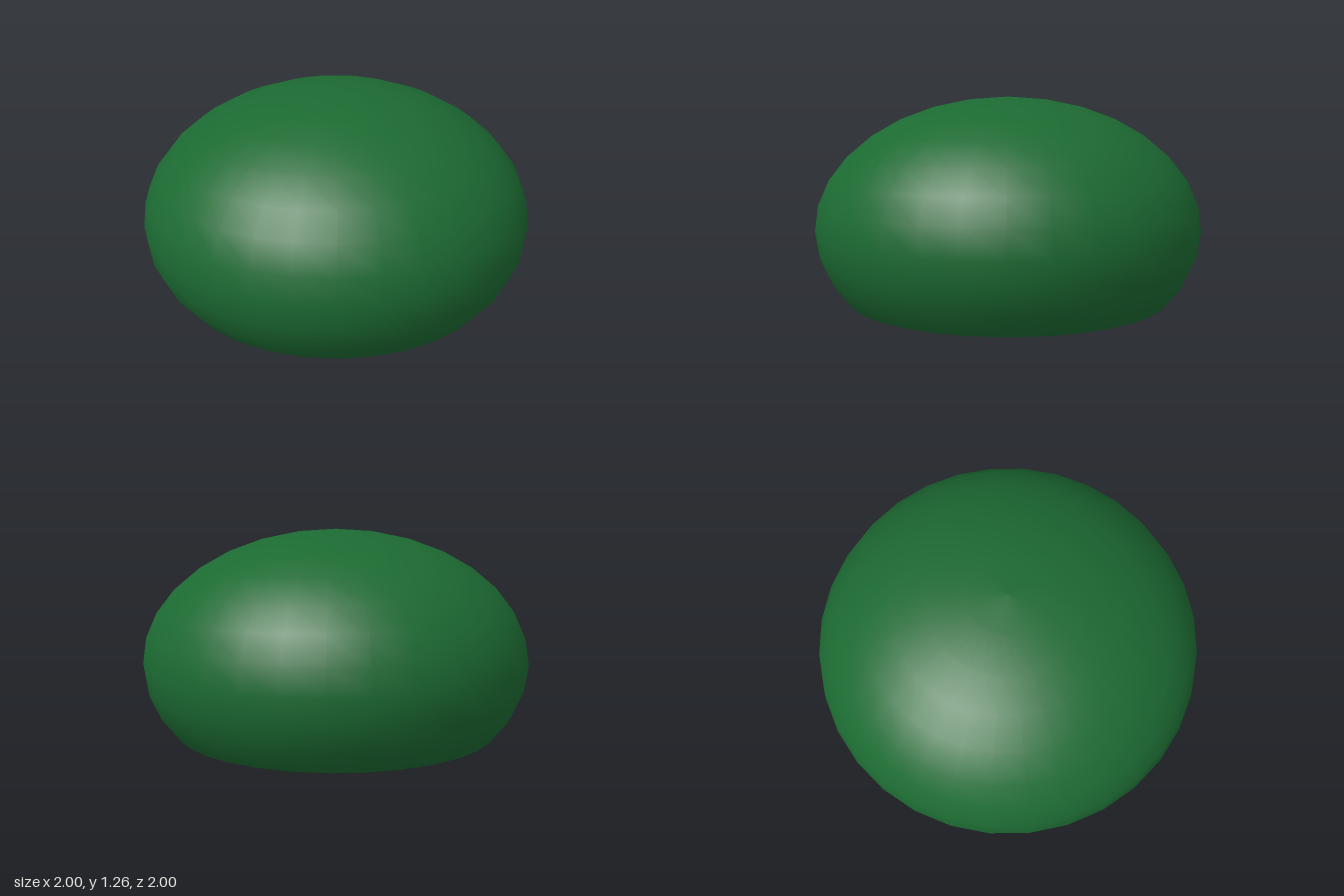
import * as THREE from 'three';

const SEGMENTS = 32;
const CENTRE_Y = 0.578;
const RIM_Y = 0.209;
const RIM_OUTER = 0.838;
const RIM_INNER = 0.79;

// Elliptical profile points at sixteenths of a half turn, counted from the bottom pole
function arc(rx, ry, centreY, first) {
  const points = [];
  for (let i = first; i < 16; i++) {
    const a = Math.PI * i / 16;
    points.push(new THREE.Vector2(rx * Math.sin(a), centreY - ry * Math.cos(a)));
  }
  points.push(new THREE.Vector2(0, centreY + ry));
  return points;
}

function addLathe(parent, name, points, material) {
  const mesh = new THREE.Mesh(new THREE.LatheGeometry(points, SEGMENTS), material);
  mesh.name = name;
  parent.add(mesh);
}

export function createModel() {
  const model = new THREE.Group();
  model.name = 'domeLamp';
  const green = new THREE.MeshStandardMaterial({ color: 0x1c6a32, side: THREE.DoubleSide });
  const grey = new THREE.MeshStandardMaterial({ color: 0xcccccc });

  // Shade: flat rim running smoothly into the outer dome
  const shade = new THREE.Group();
  shade.name = 'shade';
  addLathe(shade, 'shadeOuter', [
    new THREE.Vector2(RIM_INNER, RIM_Y),
    new THREE.Vector2(RIM_OUTER, RIM_Y),
    ...arc(1, 0.68, CENTRE_Y, 6),
  ], green);

  // Bowl-shaped cavity rising from the inner edge of the rim
  addLathe(shade, 'shadeInner', arc(RIM_INNER, 0.82, RIM_Y, 8).reverse(), green);
  model.add(shade);

  // Bulb: an egg-shaped ellipsoid hanging below the rim
  const bulb = new THREE.Mesh(new THREE.SphereGeometry(1, SEGMENTS, 16), grey);
  bulb.name = 'bulb';
  bulb.scale.set(0.35, 0.495, 0.32);
  bulb.position.y = 0.495;
  model.add(bulb);

  return model;
}
